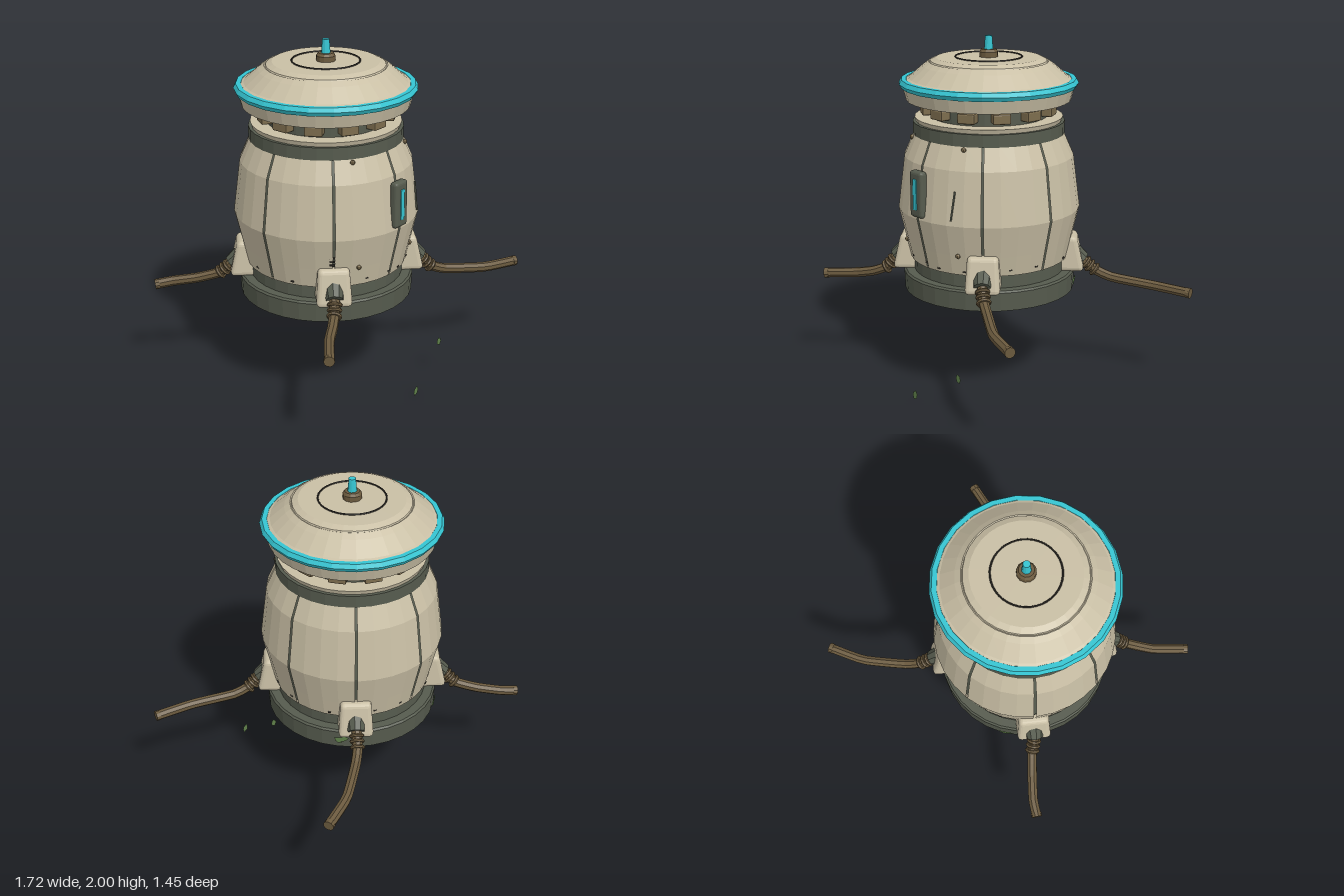
import * as THREE from 'three';
import { RoundedBoxGeometry } from 'three/addons/geometries/RoundedBoxGeometry.js';

const mat = (color) => new THREE.MeshStandardMaterial({ color, flatShading: true, side: THREE.DoubleSide });
const M = {
  shell: mat(0xc9bfa5), dark: mat(0x565b4e), glow: mat(0x35c5d2),
  brown: mat(0x6b5a3e), block: mat(0x7d6d4e), line: mat(0x33302a), leaf: mat(0x5f7f4a),
};
const V = (x, y, z) => new THREE.Vector3(x, y, z);
const UP = V(0, 1, 0);

function add(parent, name, geometry, material, x = 0, y = 0, z = 0) {
  const mesh = new THREE.Mesh(geometry, material);
  mesh.name = name;
  mesh.position.set(x, y, z);
  parent.add(mesh);
  return mesh;
}
const lathe = (pts, segs = 32, start = 0, length = Math.PI * 2) =>
  new THREE.LatheGeometry(pts.map(([r, y]) => new THREE.Vector2(r, y)), segs, start, length);

// Cylinder running from a to b
function rod(parent, name, a, b, r1, r2, material) {
  const mesh = add(parent, name, new THREE.CylinderGeometry(r2, r1, a.distanceTo(b), 10), material);
  mesh.position.copy(a).lerp(b, 0.5);
  mesh.quaternion.setFromUnitVectors(UP, b.clone().sub(a).normalize());
}

// Thin pointed leaf in the xy plane
function leafGeometry(w, h) {
  const s = new THREE.Shape();
  s.moveTo(0, -h / 2);
  s.lineTo(w / 2, -h / 6);
  s.lineTo(w / 2, h / 5);
  s.lineTo(0, h / 2);
  s.lineTo(-w / 2, h / 6);
  s.lineTo(-w / 2, -h / 5);
  return new THREE.ShapeGeometry(s);
}

// Bracket, socket, clamps and bent hose; sx, sz give the corner, path lists the hose beyond the socket
function makeLeg(body, sx, sz, path) {
  const leg = new THREE.Group();
  leg.name = 'leg';
  body.add(leg);

  // Bracket leaning outward at its foot
  const bracketGeo = new RoundedBoxGeometry(0.19, 0.205, 0.14, 2, 0.025);
  const p = bracketGeo.attributes.position;
  for (let i = 0; i < p.count; i++) {
    const t = 0.5 - p.getY(i) / 0.205;
    if (p.getZ(i) > 0) p.setZ(i, p.getZ(i) + 0.045 * t);
    p.setX(i, p.getX(i) * (0.9 + 0.14 * t));
  }
  bracketGeo.computeVertexNormals();
  const bracket = add(leg, 'legBracket', bracketGeo, M.shell, sx * 0.31, 0.757, sz * 0.31);
  bracket.rotation.y = Math.atan2(sx, sz);

  // Socket
  const a = V(sx * 0.33, 0.765, sz * 0.33);
  const b = V(sx * 0.385, 0.7, sz * 0.385);
  rod(leg, 'legSocket', a, b, 0.062, 0.048, M.dark);

  // Hose with a closed end
  const curve = new THREE.CatmullRomCurve3([b, ...path.map((q) => V(...q))], false, 'catmullrom', 0.25);
  add(leg, 'legHose', new THREE.TubeGeometry(curve, 14, 0.029, 8), M.brown);
  const end = curve.getPointAt(1);
  const dir = curve.getTangentAt(1);
  rod(leg, 'legTip', end.clone().addScaledVector(dir, -0.025), end, 0.03, 0.03, M.brown);

  // Clamp rings near the socket
  for (const d of [0.025, 0.055, 0.09]) {
    const u = d / curve.getLength();
    const ring = add(leg, 'hoseClamp', new THREE.TorusGeometry(0.033, 0.01, 6, 12), M.brown);
    ring.position.copy(curve.getPointAt(u));
    ring.quaternion.setFromUnitVectors(V(0, 0, 1), curve.getTangentAt(u));
  }
}

export function createModel() {
  const root = new THREE.Group();
  root.name = 'barrelDevice';
  const body = new THREE.Group();
  body.name = 'body';
  body.position.set(-0.1, 0, 0.01);
  root.add(body);

  // Base and dark inner core seen through the seams
  add(body, 'base', lathe([[0, 0.545], [0.49, 0.545], [0.495, 0.65], [0.485, 0.66], [0, 0.66]]), M.dark);
  add(body, 'core', lathe([[0.435, 0.65], [0.435, 0.76], [0.505, 1.03], [0.465, 1.33], [0.4, 1.47]]), M.dark);

  // Eight shell panels with narrow gaps between them
  const gap = 0.012;
  const panel = [[0.425, 0.735], [0.452, 0.735], [0.478, 0.85], [0.52, 1.03], [0.482, 1.33], [0.425, 1.46], [0.4, 1.46]];
  for (let i = 0; i < 8; i++) {
    add(body, 'shellPanel', lathe(panel, 4, i * Math.PI / 4 + gap, Math.PI / 4 - 2 * gap), M.shell);
  }

  // Collar, rim and neck
  add(body, 'collar', lathe([[0.38, 1.455], [0.43, 1.455], [0.43, 1.525], [0.38, 1.525]]), M.dark);
  add(body, 'rim', lathe([[0.4, 1.52], [0.41, 1.52], [0.42, 1.55], [0.3, 1.55]]), M.shell);
  add(body, 'neck', new THREE.CylinderGeometry(0.33, 0.33, 0.13, 32), M.dark, 0, 1.6, 0);
  for (let i = 0; i < 12; i++) {
    const t = i * Math.PI / 6;
    const block = add(body, 'neckBlock', new RoundedBoxGeometry(0.1, 0.057, 0.08, 1, 0.008), M.block,
      Math.sin(t) * 0.345, 1.597, Math.cos(t) * 0.345);
    block.rotation.y = t;
  }

  // Lid with its glowing ring
  add(body, 'lid', lathe([[0, 1.645], [0.465, 1.645], [0.485, 1.72], [0.48, 1.755], [0.45, 1.768], [0.37, 1.837],
    [0.338, 1.86], [0.332, 1.857], [0.328, 1.864], [0.295, 1.88], [0, 1.882]]), M.shell);
  const flat = (name, r, tube, sides, segs, material, y) => {
    add(body, name, new THREE.TorusGeometry(r, tube, sides, segs), material, 0, y, 0).rotation.x = Math.PI / 2;
  };
  flat('lidGlowRing', 0.48, 0.027, 6, 24, M.glow, 1.74);
  flat('lidInset', 0.187, 0.005, 6, 40, M.line, 1.883);

  // Antenna
  add(body, 'antennaBase', lathe([[0.053, 1.88], [0.053, 1.91], [0.042, 1.925], [0, 1.925]], 12), M.brown);
  add(body, 'antennaTip', new THREE.CylinderGeometry(0.02, 0.026, 0.08, 12), M.glow, 0, 1.96, 0);

  // Front light
  add(body, 'lightFrame', new RoundedBoxGeometry(0.105, 0.262, 0.05, 2, 0.018), M.dark, 0, 1.175, 0.512);
  add(body, 'lightStrip', new RoundedBoxGeometry(0.03, 0.175, 0.012, 1, 0.005), M.glow, 0, 1.175, 0.537);

  // Front bolts
  for (const s of [-1, 1]) {
    for (const [y, z] of [[1.44, 0.375], [0.85, 0.422]]) {
      add(body, 'bolt', new THREE.SphereGeometry(0.014, 8, 6), M.block, s * 0.226, y, z);
    }
  }

  // Scratch and vent slits on the front
  const scratch = add(body, 'scratch', new THREE.BoxGeometry(0.008, 0.165, 0.008), M.dark, 0.229, 1.14, 0.458);
  scratch.rotation.set(-0.12, 0.46, -0.06);
  for (let i = 0; i < 3; i++) {
    const slit = add(body, 'ventSlit', new THREE.BoxGeometry(0.03, 0.007, 0.012), M.line, -0.35, 0.88 + i * 0.02, 0.338);
    slit.rotation.y = -Math.PI / 4;
  }

  // Chips along the lower edge of the shell
  for (let i = 0; i < 14; i++) {
    const t = i * 2.4 + 0.2;
    const chip = add(body, 'edgeChip', new THREE.BoxGeometry(0.018, 0.008, 0.01), M.line,
      Math.sin(t) * 0.455, 0.755 + 0.012 * (i % 2), Math.cos(t) * 0.455);
    chip.rotation.y = t;
  }

  // Legs, in coordinates relative to the body axis
  makeLeg(body, 1, 1, [[0.44, 0.635, 0.42], [0.52, 0.6, 0.465], [0.73, 0.575, 0.6], [0.945, 0.567, 0.68]]);
  makeLeg(body, 1, -1, [[0.44, 0.635, -0.445], [0.52, 0.6, -0.5], [0.73, 0.575, -0.625], [0.945, 0.567, -0.693]]);
  makeLeg(body, -1, 1, [[-0.43, 0.635, 0.42], [-0.5, 0.6, 0.465], [-0.59, 0.58, 0.52], [-0.745, 0.567, 0.65]]);
  makeLeg(body, -1, -1, [[-0.42, 0.635, -0.45], [-0.5, 0.6, -0.55], [-0.595, 0.58, -0.66], [-0.672, 0.567, -0.722]]);

  // Leaf clumps stuck to the base
  for (const t of [2.19, 3.6]) {
    for (let i = -1; i <= 1; i++) {
      const u = t + i * 0.035;
      const leaf = add(body, 'baseLeaf', leafGeometry(0.026, 0.055), M.leaf,
        Math.sin(u) * 0.502, 0.605 + 0.006 * i, Math.cos(u) * 0.502);
      leaf.rotation.set(0, t, 1.3 + i * 0.5, 'YXZ');
    }
  }

  // Falling leaves
  add(root, 'fallingLeaf', leafGeometry(0.036, 0.056), M.leaf, 0.27, 0.207, 0.557).rotation.z = 0.3;
  add(root, 'fallingLeaf', leafGeometry(0.036, 0.062), M.leaf, -0.035, 0.033, 0.622).rotation.z = -0.3;
  return root;
}
